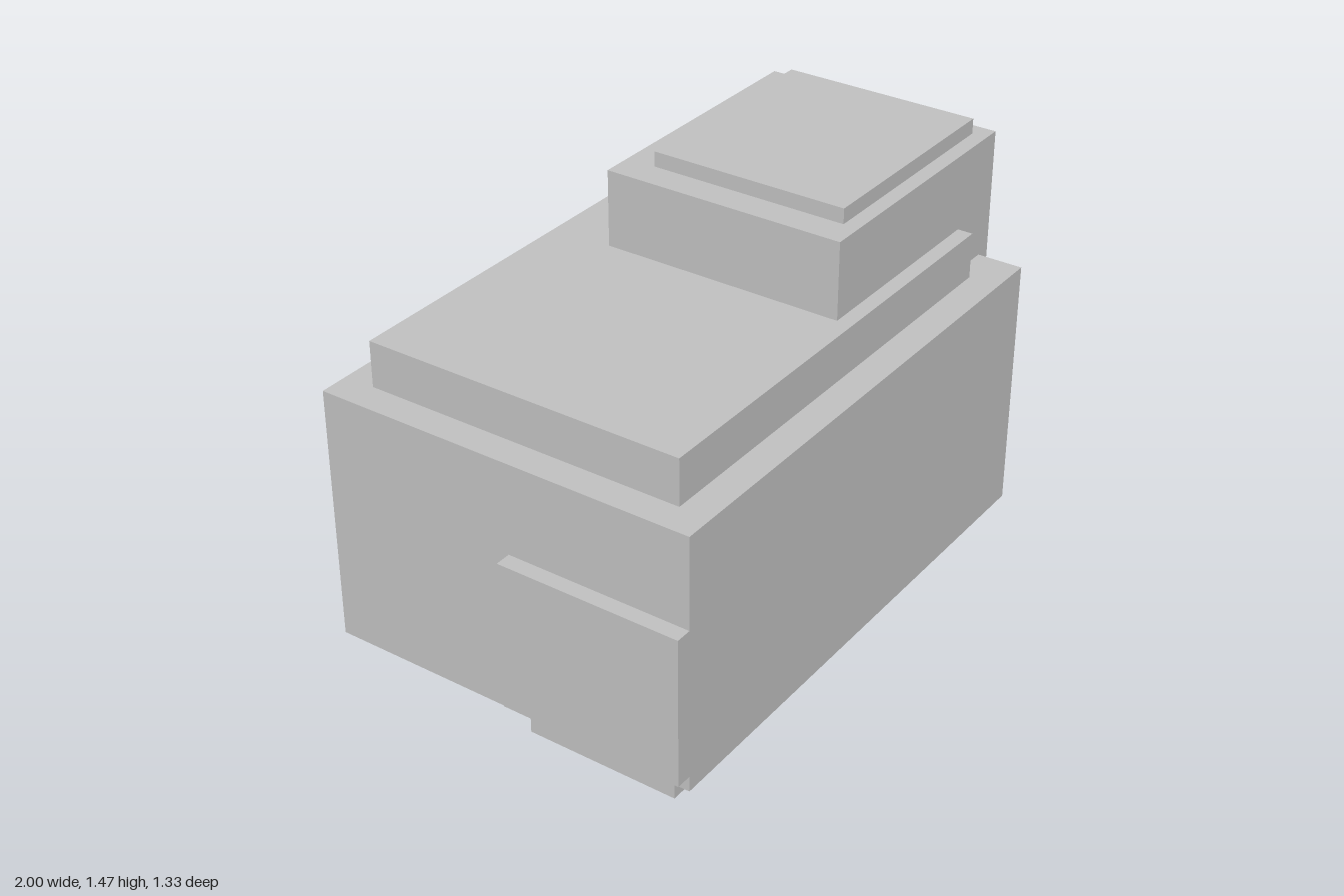
import * as THREE from 'three';

// Box given by its limits on each axis
function block(name, [x0, x1], [y0, y1], [z0, z1], material) {
  const mesh = new THREE.Mesh(new THREE.BoxGeometry(x1 - x0, y1 - y0, z1 - z0), material);
  mesh.position.set((x0 + x1) / 2, (y0 + y1) / 2, (z0 + z1) / 2);
  mesh.name = name;
  return mesh;
}

export function createModel() {
  const model = new THREE.Group();
  model.name = 'blockyBoulder';
  const stone = new THREE.MeshStandardMaterial({ color: 0xbfbfbf });
  stone.name = 'stone grey';

  // Main mass with stepped slabs above and below
  model.add(
    block('body', [-0.945, 0.942], [0.108, 1.0], [-0.667, 0.664], stone),
    block('topSlab', [-0.842, 0.786], [1.0, 1.158], [-0.56, 0.558], stone),
    block('baseSlab', [-0.842, 0.786], [0, 0.108], [-0.56, 0.558], stone),
    // Ledges on the right side and under the front corner
    block('sideLedge', [-1, -0.945], [0.163, 0.685], [0.025, 0.664], stone),
    block('underLedge', [-0.945, -0.32], [0.055, 0.108], [0.08, 0.611], stone),
    block('upperCap', [0.157, 0.942], [1.422, 1.474], [-0.24, 0.452], stone),
  );

  // Upper block overhanging the left side, notched at its lower back corner
  const profile = new THREE.Shape([
    [-0.29, 0.79], [0.505, 0.79], [0.505, 1.422],
    [-0.345, 1.422], [-0.345, 0.845], [-0.29, 0.845],
  ].map(([z, y]) => new THREE.Vector2(z, y)));
  const upper = new THREE.Mesh(
    new THREE.ExtrudeGeometry(profile, { depth: 0.948, bevelEnabled: false }), stone);
  upper.rotation.y = -Math.PI / 2;
  upper.position.x = 1;
  upper.name = 'upperBlock';
  model.add(upper);

  return model;
}
